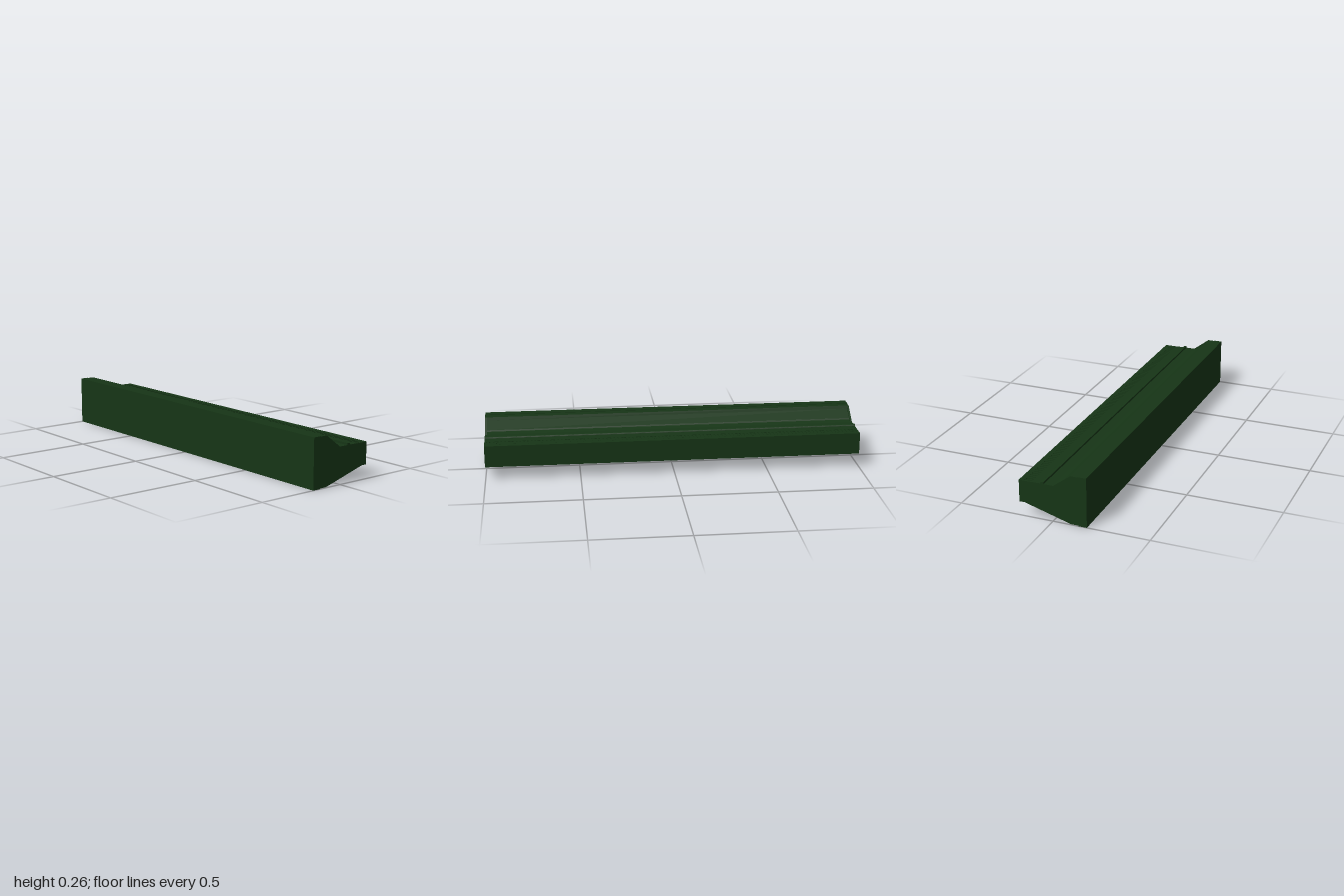
import * as THREE from 'three';

const material = new THREE.MeshStandardMaterial({ color: 0x163516, flatShading: true });

// Sweep a (z, y) cross-section along x, centred on cx.
function sweep(name, section, length, cx = 0) {
  const shape = section instanceof THREE.Shape
    ? section
    : new THREE.Shape(section.map(([z, y]) => new THREE.Vector2(z, y)));
  const geometry = new THREE.ExtrudeGeometry(shape, { depth: length, bevelEnabled: false, curveSegments: 8 });
  geometry.rotateY(-Math.PI / 2);
  geometry.translate(cx + length / 2, 0, 0);
  const mesh = new THREE.Mesh(geometry, material);
  mesh.name = name;
  return mesh;
}

export function createModel() {
  const group = new THREE.Group();
  group.name = 'longHousing';
  const cap = 0.01;
  const inner = 2 - 2 * cap;

  // Main body: tall front, stepped upper slope, open recess underneath
  group.add(sweep('body', [
    [0.177, 0], [0.177, 0.26], [0.134, 0.26], [0.134, 0.258], [0.095, 0.258],
    [0.088, 0.242], [0.035, 0.205], [0.03, 0.198], [0.005, 0.19],
    [-0.11, 0.19], [-0.11, 0.186], [-0.15, 0.186], [-0.15, 0.189], [-0.177, 0.189],
    [-0.177, 0.073], [-0.148, 0.073], [-0.14, 0.084], [0.095, 0.086],
    [0.095, 0.003], [0.134, 0.003], [0.134, 0],
  ], inner));

  // End plates close the recess with the full outline
  for (const side of [-1, 1]) {
    group.add(sweep(side > 0 ? 'leftEndPlate' : 'rightEndPlate', [
      [0.177, 0], [0.177, 0.26], [0.134, 0.26], [0.134, 0.258], [0.095, 0.258],
      [0.005, 0.19], [-0.11, 0.19], [-0.11, 0.189], [-0.177, 0.189],
      [-0.177, 0.073], [-0.148, 0.073], [0.095, 0.003], [0.134, 0.003], [0.134, 0],
    ], cap, side * (1 - cap / 2)));
  }

  // Quarter-round bead running along the rear ledge
  const bead = new THREE.Shape();
  bead.moveTo(-0.065, 0.188);
  bead.lineTo(-0.045, 0.188);
  bead.lineTo(-0.045, 0.2);
  bead.lineTo(-0.053, 0.2);
  bead.quadraticCurveTo(-0.064, 0.199, -0.065, 0.188);
  group.add(sweep('ledgeBead', bead, 2));

  // Fine slats across the shallow rear vent
  const vent = new THREE.Group();
  vent.name = 'rearVent';
  const slat = new THREE.BoxGeometry(0.012, 0.005, 0.04);
  const count = 100;
  for (let i = 0; i < count; i++) {
    const mesh = new THREE.Mesh(slat, material);
    mesh.name = 'ventSlat';
    mesh.position.set(((i + 0.5) / count - 0.5) * inner, 0.1868, -0.13);
    vent.add(mesh);
  }
  group.add(vent);
  return group;
}
